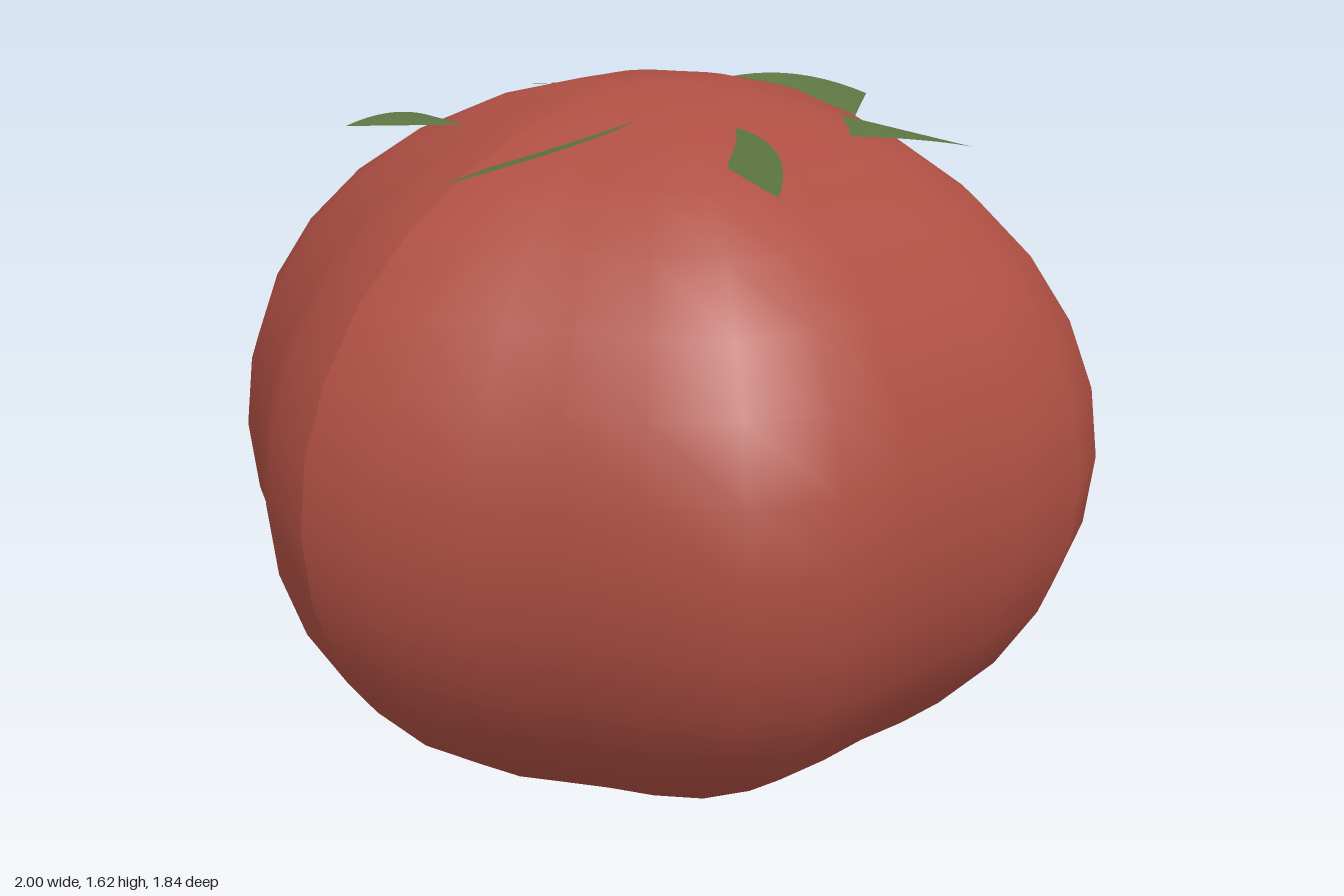
import * as THREE from 'three';

const CENTER_Y = 0.812, HALF_H = 0.81;

// Six-lobed outline radius at a given angle around the vertical axis
const lobe = (a) => 0.955 + 0.045 * Math.cos(6 * a);

// Height of the upper body surface at (x, z)
function surfaceY(x, z) {
  const k = Math.hypot(x, z) / lobe(Math.atan2(z, x));
  return CENTER_Y + HALF_H * Math.sqrt(Math.max(0, 1 - k * k));
}

// Squashed sphere pushed out into six soft lobes
function makeBody(material) {
  const geo = new THREE.SphereGeometry(1, 32, 16);
  const p = geo.attributes.position;
  for (let i = 0; i < p.count; i++) {
    const x = p.getX(i), z = p.getZ(i);
    const r = lobe(Math.atan2(z, x));
    p.setXYZ(i, x * r, CENTER_Y + p.getY(i) * HALF_H, z * r);
  }
  geo.computeVertexNormals();
  const mesh = new THREE.Mesh(geo, material);
  mesh.name = 'fruitBody';
  return mesh;
}

// Thin leaf: free tip, one curved edge to root a, one straight edge from root b
function makeLeaf({ tip, bend, a, b }, material) {
  const root = ([x, z]) => new THREE.Vector3(x, surfaceY(x, z) - 0.004, z);
  const edge = new THREE.QuadraticBezierCurve3(
    new THREE.Vector3(...tip), new THREE.Vector3(...bend), root(a)).getPoints(10);
  const hub = root(b);
  const points = [];
  for (let i = 0; i < edge.length - 1; i++) {
    const tri = [hub, edge[i], edge[i + 1]];
    // Keep the face pointing upward
    const n = edge[i].clone().sub(hub).cross(edge[i + 1].clone().sub(hub));
    if (n.y < 0) tri.reverse();
    points.push(...tri);
  }
  const geo = new THREE.BufferGeometry().setFromPoints(points);
  geo.computeVertexNormals();
  return new THREE.Mesh(geo, material);
}

// tip and bend are x, y, z; roots are x, z on the body
const LEAVES = [
  { tip: [0.70, 1.5, 0.0], bend: [0.52, 1.585, -0.07], a: [0.28, -0.06], b: [0.51, 0.13] },
  { tip: [0.37, 1.5, 0.59], bend: [0.22, 1.54, 0.60], a: [0.165, 0.42], b: [0.24, 0.31] },
  { tip: [-0.29, 1.5, 0.635], bend: [-0.14, 1.57, 0.55], a: [-0.09, 0.32], b: [-0.22, 0.43] },
  { tip: [-0.70, 1.5, 0.10], bend: [-0.45, 1.58, 0.29], a: [-0.23, 0.17], b: [-0.52, 0.03] },
  { tip: [-0.46, 1.5, -0.535], bend: [-0.35, 1.55, -0.48], a: [-0.29, -0.40], b: [-0.34, -0.26] },
  { tip: [0.195, 1.5, -0.67], bend: [0.175, 1.53, -0.52], a: [0.16, -0.46], b: [0.09, -0.36] },
];

export function createModel() {
  const red = new THREE.MeshStandardMaterial({ color: 0xaf4f43 });
  red.name = 'fruitRed';
  const green = new THREE.MeshStandardMaterial({ color: 0x5c7542, side: THREE.DoubleSide });
  green.name = 'leafGreen';

  const model = new THREE.Group();
  model.name = 'fruit';
  model.add(makeBody(red));

  // Ring of leaves around the crown
  const leaves = new THREE.Group();
  leaves.name = 'leaves';
  LEAVES.forEach((spec, i) => {
    const leaf = makeLeaf(spec, green);
    leaf.name = `leaf${i + 1}`;
    leaves.add(leaf);
  });
  model.add(leaves);
  return model;
}
